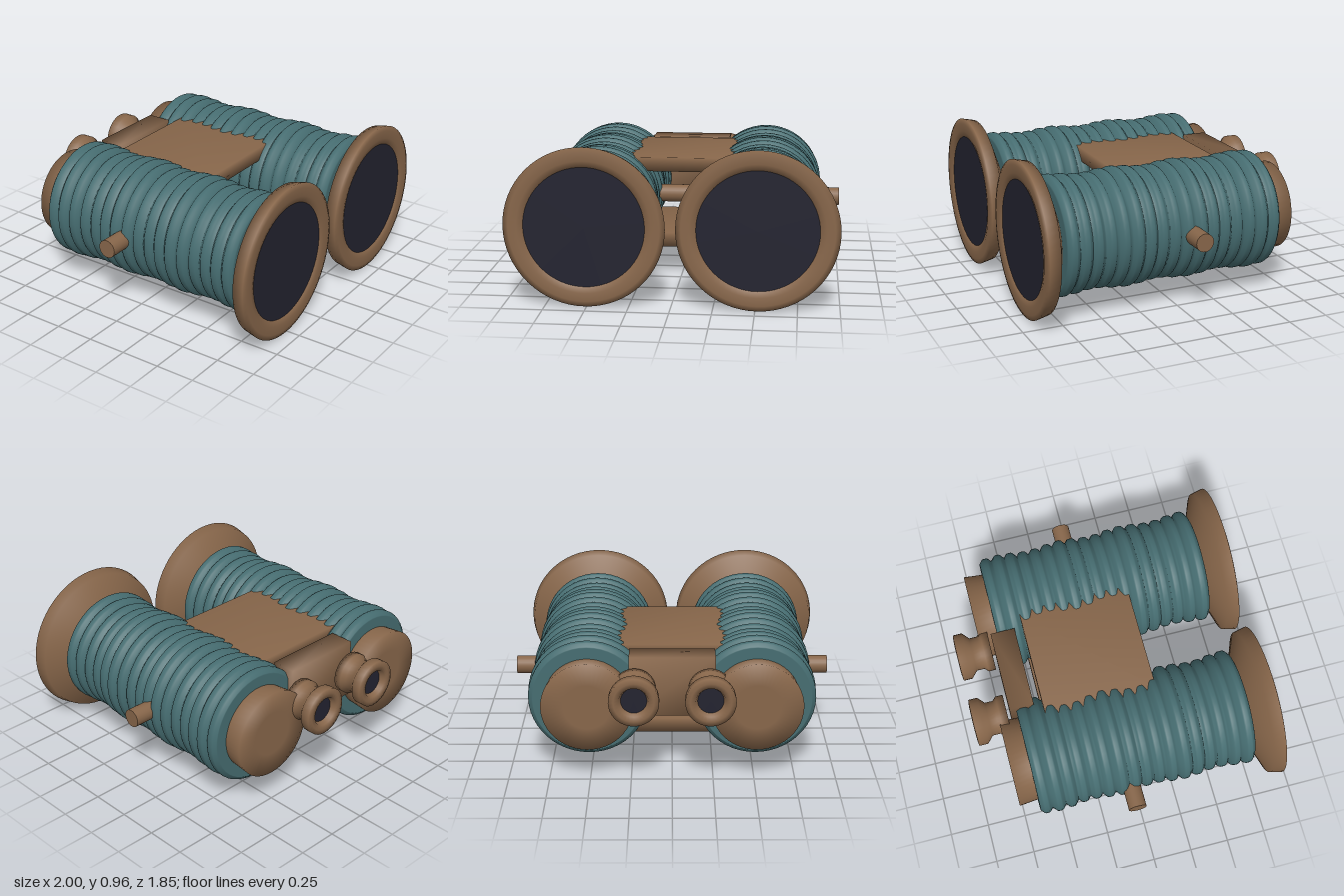
import * as THREE from 'three';
import { mergeVertices } from 'three/addons/utils/BufferGeometryUtils.js';

const paint = (name, color) => {
  const m = new THREE.MeshStandardMaterial({ color });
  m.name = name;
  return m;
};

export function createModel() {
  const brown = paint('brown', 0x87664a);
  const teal = paint('teal', 0x466d71);
  const glass = paint('darkGlass', 0x232330);

  const model = new THREE.Group();
  model.name = 'binoculars';
  const CY = 0.487; // height of the barrel axes

  const add = (parent, name, geometry, material, x = 0, y = 0, z = 0) => {
    const mesh = new THREE.Mesh(geometry, material);
    mesh.name = name;
    mesh.position.set(x, y, z);
    parent.add(mesh);
    return mesh;
  };

  // Turned part along z; profile is [radius, z] from rear to front
  const turned = (profile, sides = 48) =>
    new THREE.LatheGeometry(profile.map(([r, z]) => new THREE.Vector2(r, z)), sides).rotateX(Math.PI / 2);

  // Box with softly blended corner normals
  const softBox = (w, h, d) => {
    const g = new THREE.BoxGeometry(w, h, d);
    g.deleteAttribute('normal');
    g.deleteAttribute('uv');
    const merged = mergeVertices(g);
    merged.computeVertexNormals();
    return merged;
  };

  // Ribbed grip: seventeen rings whose radius swells in a slow wave
  const RINGS = 17, REAR = -0.645, FRONT = 0.755;
  const pitch = (FRONT - REAR) / RINGS;
  const grip = [[0, REAR], [0.335, REAR]];
  for (let i = 0; i < RINGS; i++) {
    const z = REAR + i * pitch;
    const r = 0.361 + 0.009 * Math.cos((2 * Math.PI * (RINGS - 1 - i)) / 5);
    grip.push([r - 0.024, z + 0.004], [r - 0.005, z + pitch * 0.24], [r, z + pitch * 0.36],
      [r, z + pitch * 0.64], [r - 0.005, z + pitch * 0.76], [r - 0.024, z + pitch - 0.004]);
  }
  grip.push([0.335, FRONT], [0, FRONT]);

  const gripGeo = turned(grip);
  const hoodGeo = turned([[0.25, 0.75], [0.465, 0.835], [0.482, 0.912], [0.45, 0.92], [0.4, 0.918], [0.362, 0.908], [0.355, 0.88]], 64);
  const lensGeo = new THREE.CircleGeometry(0.362, 64);
  const capGeo = turned([[0, -0.765], [0.14, -0.765], [0.277, -0.765], [0.265, -0.64]]);
  const eyepieceGeo = turned([[0.07, -0.87], [0.09, -0.922], [0.12, -0.926], [0.15, -0.922], [0.15, -0.865],
    [0.107, -0.825], [0.107, -0.775], [0.13, -0.752], [0.13, -0.705], [0, -0.705]], 32);
  const eyeLensGeo = new THREE.CircleGeometry(0.085, 32).rotateY(Math.PI);

  for (const [side, s] of [['left', 1], ['right', -1]]) {
    const barrel = new THREE.Group();
    barrel.name = side + 'Barrel';
    barrel.position.set(s * 0.512, CY, 0);
    model.add(barrel);
    add(barrel, 'ribbedGrip', gripGeo, teal);
    add(barrel, 'objectiveHood', hoodGeo, brown);
    add(barrel, 'objectiveLens', lensGeo, glass, 0, 0, 0.908);
    add(barrel, 'rearCap', capGeo, brown);

    const eyepiece = new THREE.Group();
    eyepiece.name = side + 'Eyepiece';
    eyepiece.position.set(s * 0.226, 0.585, 0);
    model.add(eyepiece);
    add(eyepiece, 'eyecup', eyepieceGeo, brown);
    add(eyepiece, 'eyeLens', eyeLensGeo, glass, 0, 0, -0.89);
  }

  // Top and bottom plates joining the barrels
  for (const [name, y] of [['topPlate', 0.735], ['bottomPlate', 0.245]]) {
    add(model, name, softBox(0.72, 0.09, 0.71), brown, 0, y, -0.122);
  }

  // Rear bridge carrying the eyepieces
  add(model, 'rearBridge', softBox(0.52, 0.375, 0.155), brown, 0, 0.588, -0.608);

  // Cross axle, its ends showing as side knobs
  add(model, 'crossAxle', new THREE.CylinderGeometry(0.057, 0.057, 2, 24).rotateZ(Math.PI / 2), brown, 0, CY, -0.055);

  return model;
}
